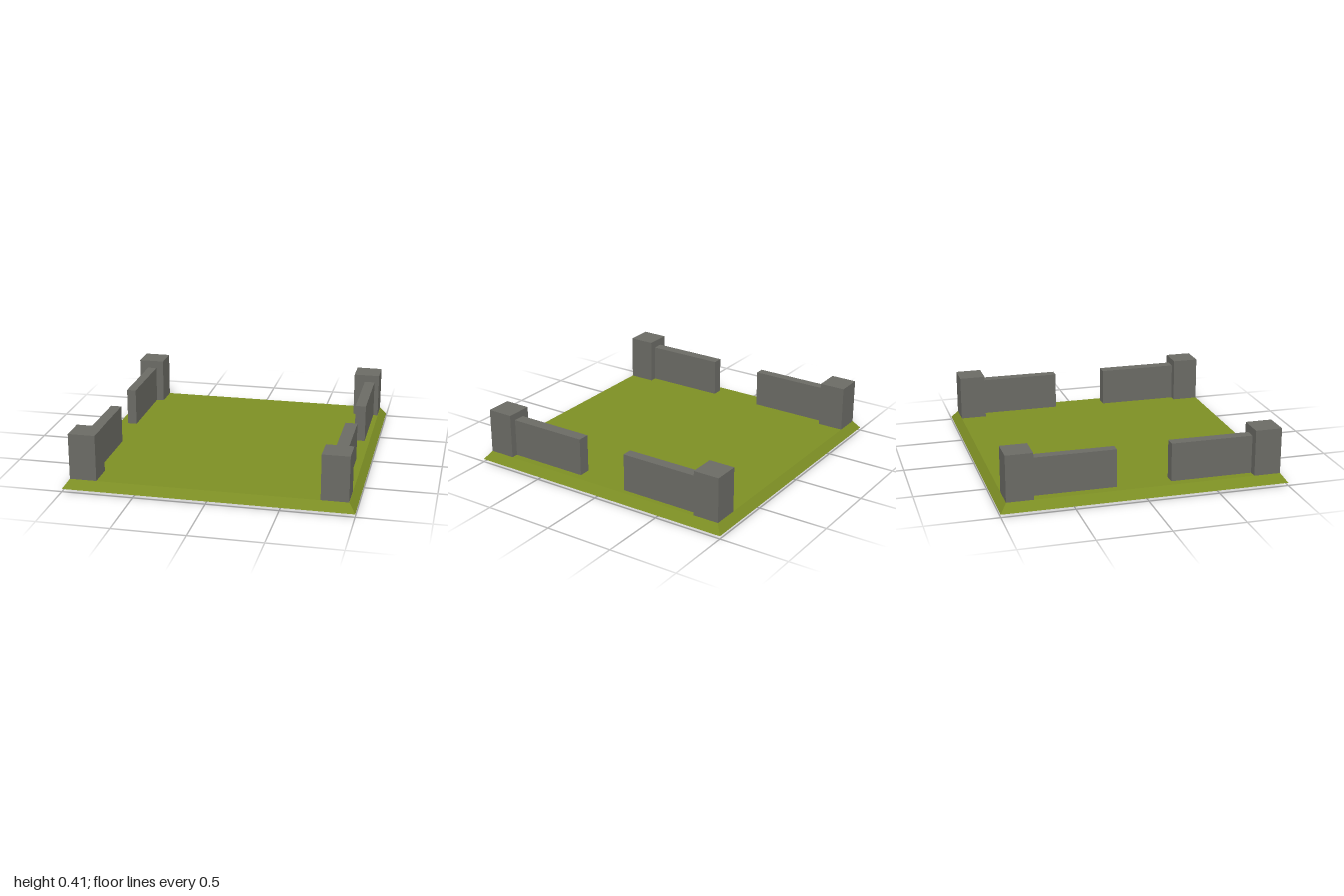
import * as THREE from 'three';

const green = new THREE.MeshStandardMaterial({ color: 0x7d8f24, side: THREE.DoubleSide, flatShading: true });
green.name = 'olive green';
const grey = new THREE.MeshStandardMaterial({ color: 0x6b6b65, side: THREE.DoubleSide, flatShading: true });
grey.name = 'stone grey';

// Box given by its limits on each axis; optionally without its bottom face
function block(name, [x0, x1], [y0, y1], [z0, z1], openBottom = false) {
  const geometry = new THREE.BoxGeometry(x1 - x0, y1 - y0, z1 - z0);
  if (openBottom) {
    const index = Array.from(geometry.index.array);
    index.splice(18, 6); // the downward side is the fourth of six
    geometry.setIndex(index);
  }
  const mesh = new THREE.Mesh(geometry, grey);
  mesh.name = name;
  mesh.position.set((x0 + x1) / 2, (y0 + y1) / 2, (z0 + z1) / 2);
  return mesh;
}

// Hollow platform: flat top and sloping skirt, open underneath
function platform() {
  const geometry = new THREE.BoxGeometry(2, 0.06, 2);
  const index = Array.from(geometry.index.array);
  index.splice(18, 6);
  geometry.setIndex(index);
  const p = geometry.attributes.position;
  for (let i = 0; i < p.count; i++) {
    if (p.getY(i) > 0) p.setXYZ(i, p.getX(i) * 0.955, p.getY(i), p.getZ(i) * 0.955);
  }
  geometry.computeVertexNormals();
  const mesh = new THREE.Mesh(geometry, green);
  mesh.name = 'platform';
  mesh.position.y = 0.05;
  return mesh;
}

export function createModel() {
  const model = new THREE.Group();
  model.name = 'walledPlatform';
  model.add(platform());

  // Corner posts, reaching a little below the platform top
  for (const sx of [-1, 1]) {
    for (const sz of [-1, 1]) {
      const x = sx < 0 ? [-0.955, -0.767] : [0.765, 0.953];
      const z = sz < 0 ? [-0.955, -0.768] : [0.766, 0.954];
      model.add(block('cornerPost', x, [0.05, sx < 0 ? 0.405 : 0.4], z, true));
    }
  }

  // Low walls running from the posts toward the middle of each side
  model.add(
    block('frontLeftWall', [0.82, 0.905], [0, 0.35], [0.19, 0.86]),
    block('frontRightWall', [-0.895, -0.818], [0.01, 0.35], [0.19, 0.905]),
    block('backLeftWall', [0.845, 0.92], [0.01, 0.347], [-0.94, -0.19]),
    block('backRightWall', [-0.89, -0.823], [0.012, 0.347], [-0.94, -0.19]),
  );
  return model;
}
